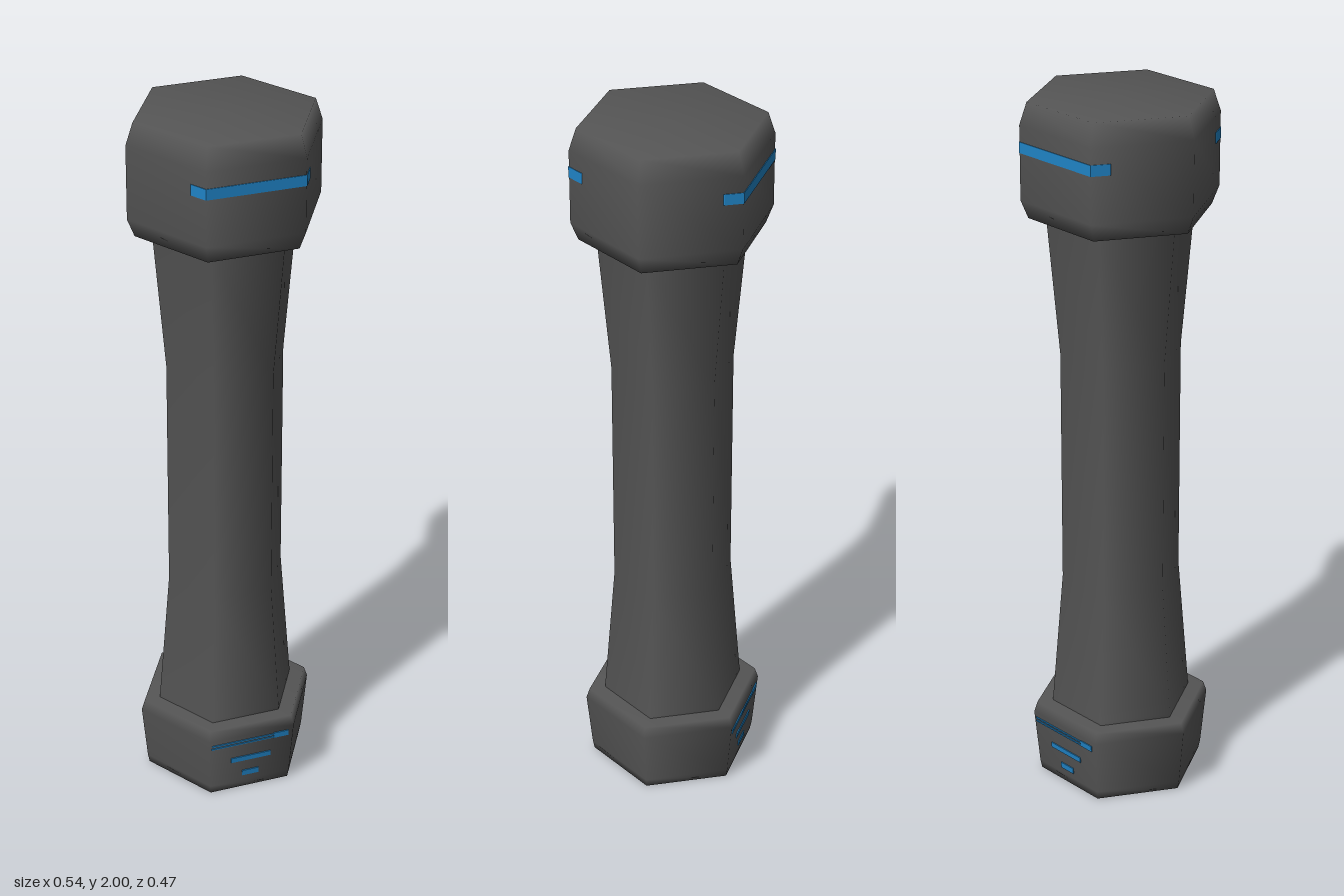
import * as THREE from 'three';

export function createModel() {
  const model = new THREE.Group();
  const grey = new THREE.MeshStandardMaterial({ color: 0x555555 });
  grey.name = 'darkGrey';
  const blue = new THREE.MeshStandardMaterial({ color: 0x1f82c4 });
  blue.name = 'blue';

  const add = (parent, name, geometry, material) => {
    const mesh = new THREE.Mesh(geometry, material);
    mesh.name = name;
    parent.add(mesh);
    return mesh;
  };

  // Six-sided smooth body with corners on the x axis
  const hexBody = (name, profile) => add(model, name, new THREE.LatheGeometry(
    profile.map(([r, y]) => new THREE.Vector2(r, y)), 6, Math.PI / 2), grey);

  hexBody('baseCap', [[0, 0], [0.235, 0], [0.24, 0.025], [0.256, 0.19], [0.246, 0.22], [0, 0.22]]);
  hexBody('shaft', [[0.2, 0.21], [0.2, 0.23], [0.168, 0.62], [0.168, 1.29], [0.203, 1.69]]);
  hexBody('topCap', [[0, 1.685], [0.25, 1.685], [0.27, 1.735], [0.27, 1.94], [0.25, 2], [0, 2]]);

  // The same blue markings on the front and the back
  const s3 = Math.sqrt(3);
  for (const [name, turn] of [['frontMarkings', 0], ['backMarkings', Math.PI]]) {
    const side = new THREE.Group();
    side.name = name;
    side.rotation.y = turn;
    model.add(side);

    // Top stripe, folded around the two neighbouring corners
    const outer = 0.272, inner = 0.264, end = 0.161;
    const z = (r, x) => (r - x) * s3;
    const band = new THREE.Shape([
      [-end, z(outer, end)], [-end, z(inner, end)], [-inner / 2, inner * s3 / 2],
      [inner / 2, inner * s3 / 2], [end, z(inner, end)], [end, z(outer, end)],
      [outer / 2, outer * s3 / 2], [-outer / 2, outer * s3 / 2],
    ].map(([x, d]) => new THREE.Vector2(x, d)));
    const bandGeometry = new THREE.ExtrudeGeometry(band, { depth: 0.03, bevelEnabled: false });
    bandGeometry.rotateX(Math.PI / 2).translate(0, 1.895, 0);
    add(side, 'topStripe', bandGeometry, blue);

    // Short stripes on the tapering base: centre x, y, width, height
    for (const [x, y, w, h] of [
      [-0.025, 0.163, 0.19, 0.004], [-0.025, 0.173, 0.19, 0.004], [0.09, 0.169, 0.045, 0.018],
      [0, 0.107, 0.12, 0.016], [0, 0.053, 0.05, 0.018],
    ]) {
      const stripe = add(side, 'baseStripe', new THREE.BoxGeometry(w, h, 0.006), blue);
      const radius = 0.24 + (y - 0.025) * 0.016 / 0.165;
      stripe.position.set(x, y, radius * s3 / 2);
      stripe.rotation.x = 0.084;
    }
  }
  return model;
}
